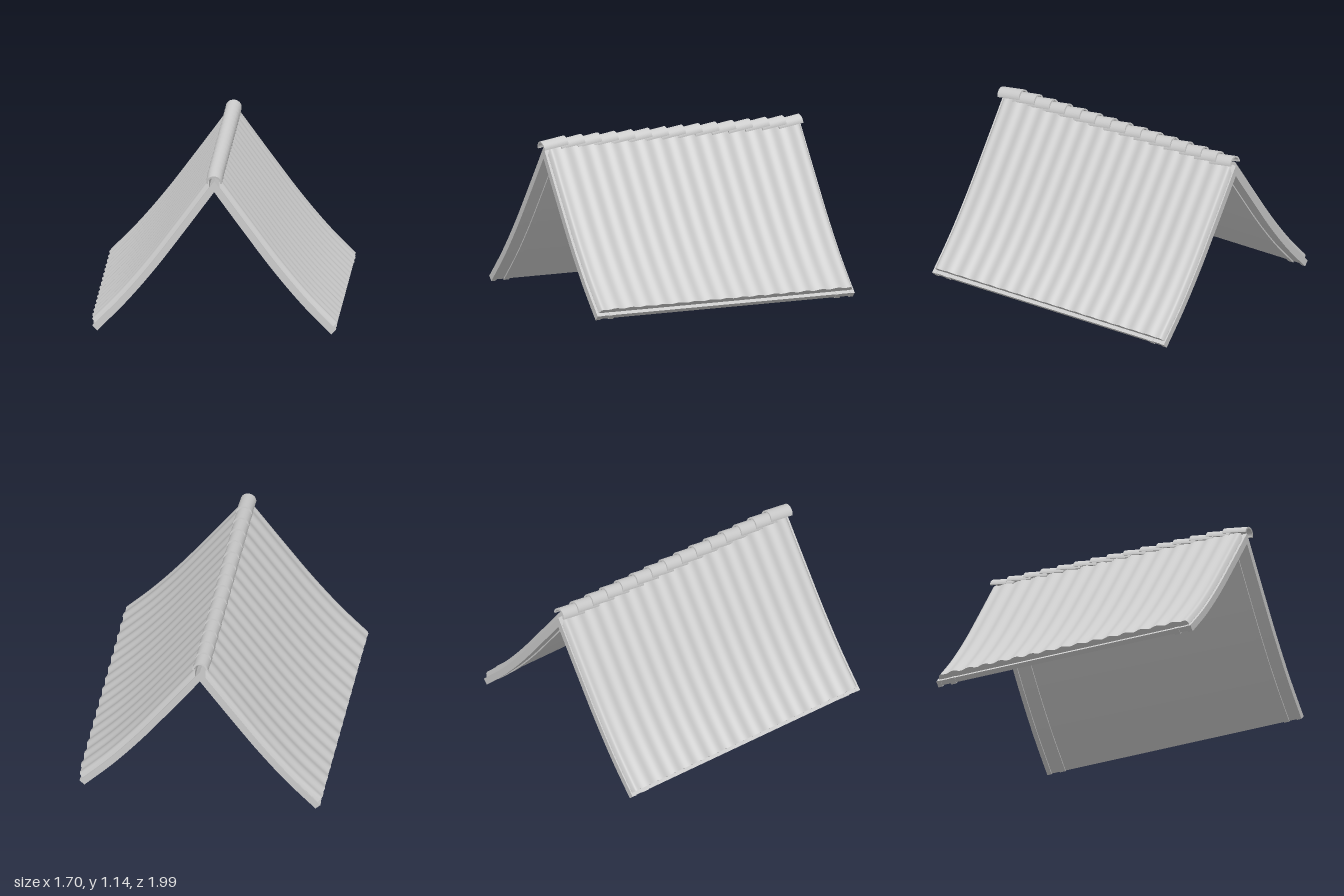
import * as THREE from 'three';

const material = new THREE.MeshStandardMaterial({ color: 0xcccccc, side: THREE.DoubleSide });

// Underside line of one roof slope, from ridge to eave
const slope = new THREE.SplineCurve([
  [0, 1.0], [0.2, 0.725], [0.4, 0.457], [0.6, 0.217], [0.805, 0.005],
].map(([x, y]) => new THREE.Vector2(x, y)));

// Bends a box along the slope. low and high(z) are heights measured square to the slope.
function slopeSlab(name, side, { z0, z1, low, high, ridgeX = 0, end = 1, zSegments = 1 }) {
  const geometry = new THREE.BoxGeometry(1, 1, 1, 24, 1, zSegments);
  const pos = geometry.attributes.position;
  for (let i = 0; i < pos.count; i++) {
    const u = 0.5 + side * pos.getX(i);
    const z = THREE.MathUtils.lerp(z0, z1, pos.getZ(i) + 0.5);
    const h = pos.getY(i) > 0 ? high(z) : low;
    const t = THREE.MathUtils.clamp(u * end, 0, 1);
    const p = slope.getPointAt(t), d = slope.getTangentAt(t);
    let x = p.x - d.y * h, y = p.y + d.x * h;
    if (u < 1e-6) { // mitre at the ridge
      y += (ridgeX - x) * d.y / d.x;
      x = ridgeX;
    }
    pos.setXYZ(i, side * x, y, z);
  }
  geometry.computeVertexNormals();
  const mesh = new THREE.Mesh(geometry, material);
  mesh.name = name;
  return mesh;
}

// Gently corrugated covering with rolled gable edges
const FRONT = 0.957, BACK = -0.985, WAVES = 16;
function coverHeight(z) {
  const edge = Math.min(FRONT - z, z - BACK);
  const k = 1 - THREE.MathUtils.clamp(edge / 0.045, 0, 1);
  const wave = 0.006 * Math.cos((z - BACK) / (FRONT - BACK) * WAVES * Math.PI * 2);
  return 0.047 + (0.034 + wave) * Math.sqrt(Math.max(0, 1 - k * k));
}

// Half-round ridge tile, tilted so its back end rides over the next one
function ridgeTileGeometry(length) {
  const shape = new THREE.Shape();
  shape.absarc(0, 0, 0.055, 0, Math.PI, false);
  shape.absarc(0, 0, 0.043, Math.PI, 0, true);
  shape.closePath();
  const geometry = new THREE.ExtrudeGeometry(shape, { depth: length, bevelEnabled: false, curveSegments: 16 });
  geometry.translate(0, 0, -length / 2);
  geometry.rotateX(0.15);
  return geometry;
}

export function createModel() {
  const roof = new THREE.Group();
  roof.name = 'roof';

  const rafters = [[0.94, 0.975], [0.84, 0.88], [-0.895, -0.855], [-0.995, -0.962]];
  for (const side of [1, -1]) {
    const half = new THREE.Group();
    half.name = side > 0 ? 'leftSlope' : 'rightSlope';
    // Boarding under the covering
    half.add(slopeSlab('boarding', side, { z0: -0.99, z1: 0.97, low: 0.009, high: () => 0.044, end: 0.998 }));
    // Rafters standing slightly proud of the boarding
    for (const [z0, z1] of rafters)
      half.add(slopeSlab('rafter', side, { z0, z1, low: 0, high: () => 0.046 }));
    // Covering
    half.add(slopeSlab('covering', side, {
      z0: BACK, z1: FRONT, low: 0.042, high: coverHeight, ridgeX: 0.036, end: 0.979, zSegments: 192,
    }));
    roof.add(half);
  }

  // Row of overlapping ridge tiles
  const ridge = new THREE.Group();
  ridge.name = 'ridge';
  const tile = ridgeTileGeometry(0.185);
  for (let i = 0; i < 15; i++) {
    const mesh = new THREE.Mesh(tile, material);
    mesh.name = 'ridgeTile';
    mesh.position.set(0, 1.078, 0.9 - i * 0.1285);
    ridge.add(mesh);
  }
  roof.add(ridge);
  return roof;
}
